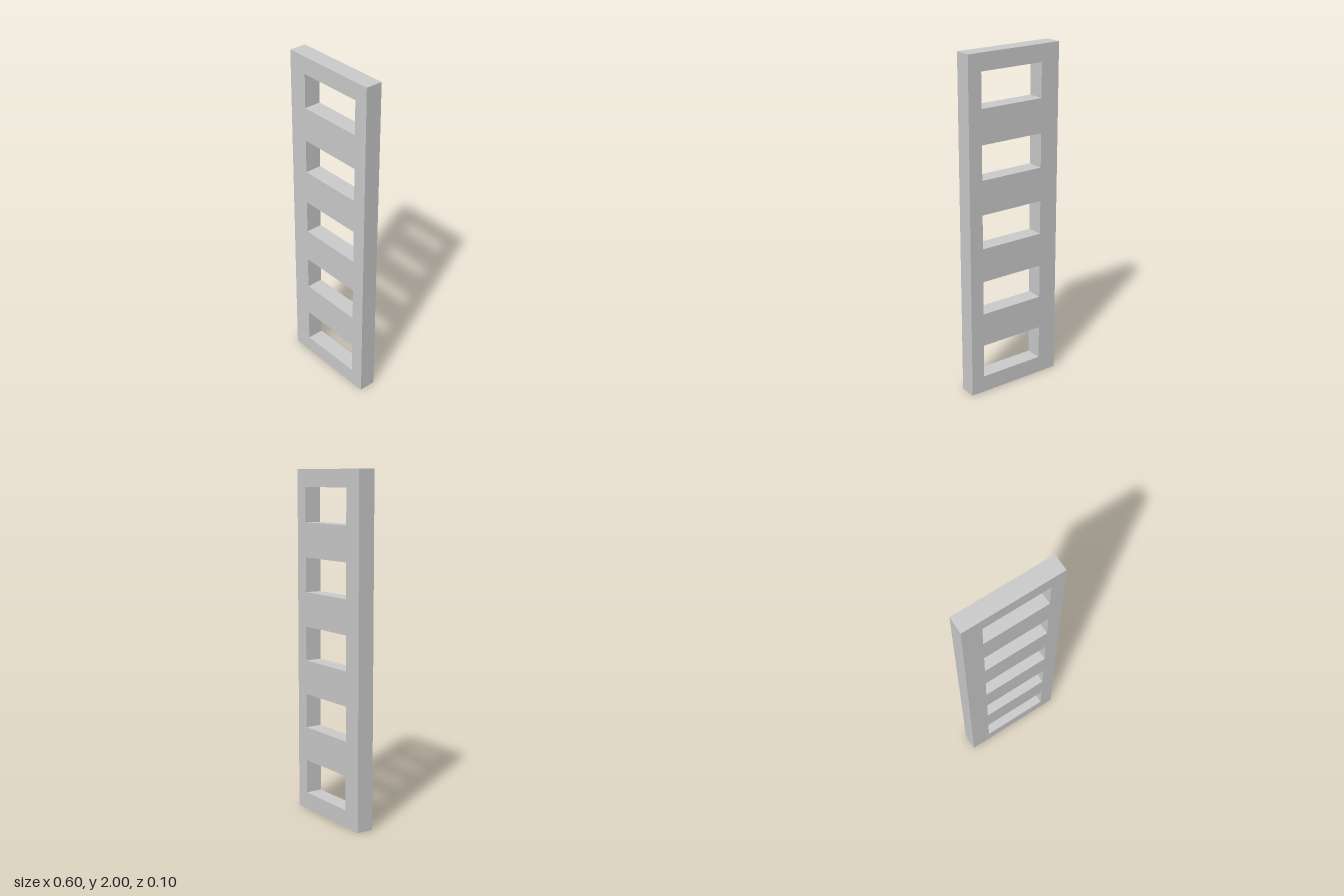
import * as THREE from 'three';

const WIDTH = 0.6, HEIGHT = 2, DEPTH = 0.1;
const SLOT = { count: 5, left: -0.183, width: 0.4, bottom: 0.1, height: 0.2, pitch: 0.4 };

// Trace a rectangle on a Shape or Path
function rect(path, x, y, w, h) {
  path.moveTo(x, y);
  path.lineTo(x + w, y);
  path.lineTo(x + w, y + h);
  path.lineTo(x, y + h);
  path.closePath();
  return path;
}

export function createModel() {
  const group = new THREE.Group();
  group.name = 'slottedPanel';

  // Upright panel outline
  const outline = rect(new THREE.Shape(), -WIDTH / 2, 0, WIDTH, HEIGHT);

  // Evenly stacked slots, slightly off centre
  for (let i = 0; i < SLOT.count; i++) {
    const y = SLOT.bottom + i * SLOT.pitch;
    outline.holes.push(rect(new THREE.Path(), SLOT.left, y, SLOT.width, SLOT.height));
  }

  const geometry = new THREE.ExtrudeGeometry(outline, { depth: DEPTH, bevelEnabled: false });
  geometry.translate(0, 0, -DEPTH / 2);

  const panel = new THREE.Mesh(
    geometry,
    new THREE.MeshStandardMaterial({ color: 0xcccccc, flatShading: true })
  );
  panel.name = 'panel';
  group.add(panel);
  return group;
}
